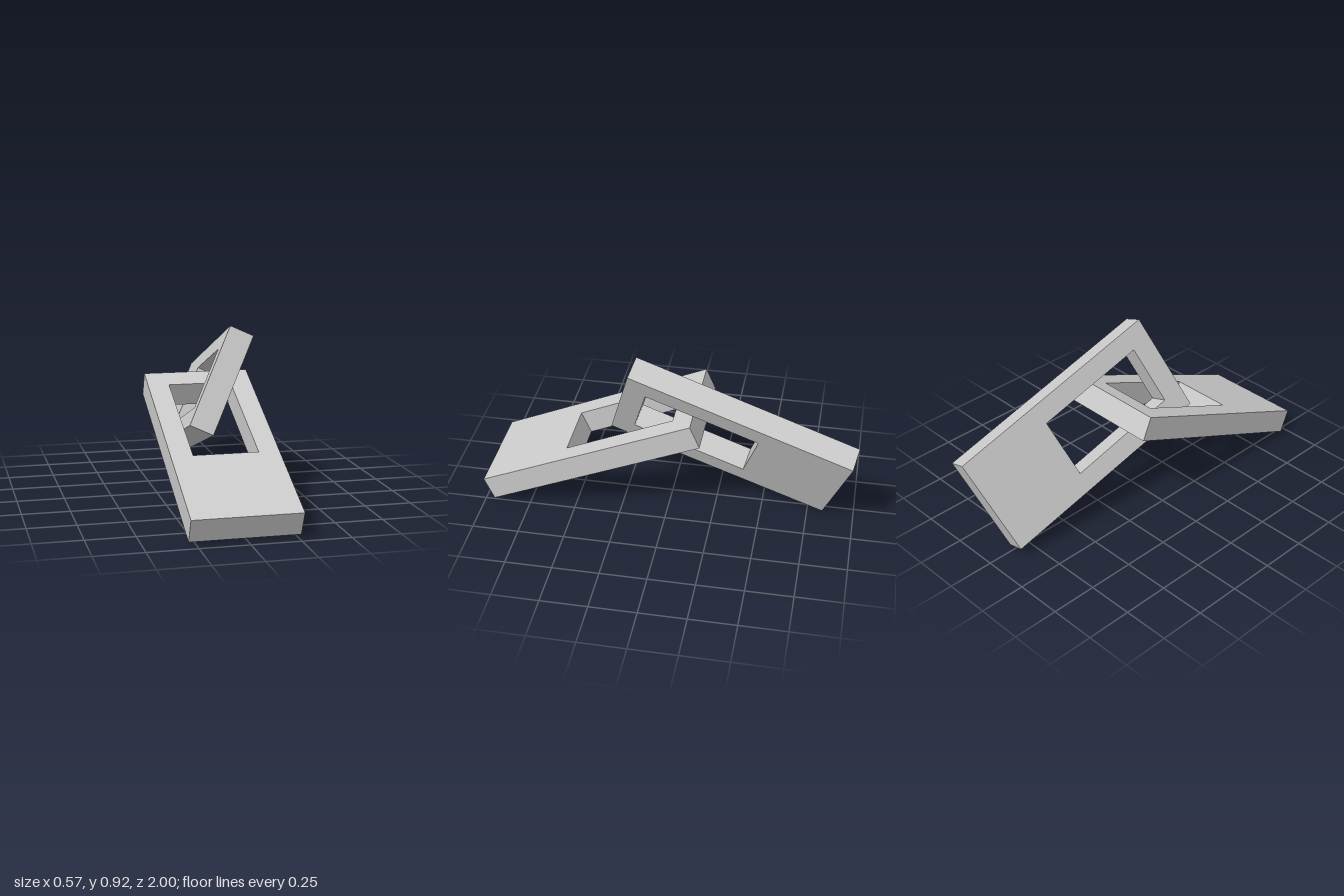
import * as THREE from 'three';

// One link: a flat slab with a rectangular window near one end and one slightly tapered long side
function linkGeometry() {
  const outline = new THREE.Shape();
  outline.moveTo(0, 0).lineTo(0.565, 0).lineTo(0.551, 1.237).lineTo(0, 1.237).closePath();
  const hole = new THREE.Path();
  hole.moveTo(0.113, 0.118).lineTo(0.113, 0.747).lineTo(0.449, 0.747).lineTo(0.45, 0.118).closePath();
  outline.holes.push(hole);
  return new THREE.ExtrudeGeometry(outline, { depth: 0.132, bevelEnabled: false });
}

// Places a link by its corner, its width direction and its length direction
function placeLink(name, geometry, corner, across, along) {
  const u = new THREE.Vector3(...across).normalize();
  const w = u.clone().cross(new THREE.Vector3(...along)).normalize();
  const v = w.clone().cross(u);
  const link = new THREE.Mesh(
    geometry,
    new THREE.MeshStandardMaterial({ color: 0xcccccc, flatShading: true })
  );
  link.name = name;
  link.quaternion.setFromRotationMatrix(new THREE.Matrix4().makeBasis(u, v, w));
  link.position.set(...corner);
  return link;
}

export function createModel() {
  const model = new THREE.Group();
  model.name = 'interlockedLinks';
  const geometry = linkGeometry();
  // Lying link, sloping down to the front
  model.add(placeLink('frontLink', geometry, [-0.288, 0.637, -0.136], [1, 0, 0], [0, -0.492, 1.136]));
  // Tilted link, threaded through the first and sloping down to the back
  model.add(placeLink('backLink', geometry, [0.11, 0.925, 0.17], [-0.25, -0.485, 0.15], [0.055, -0.395, -1.17]));
  return model;
}
